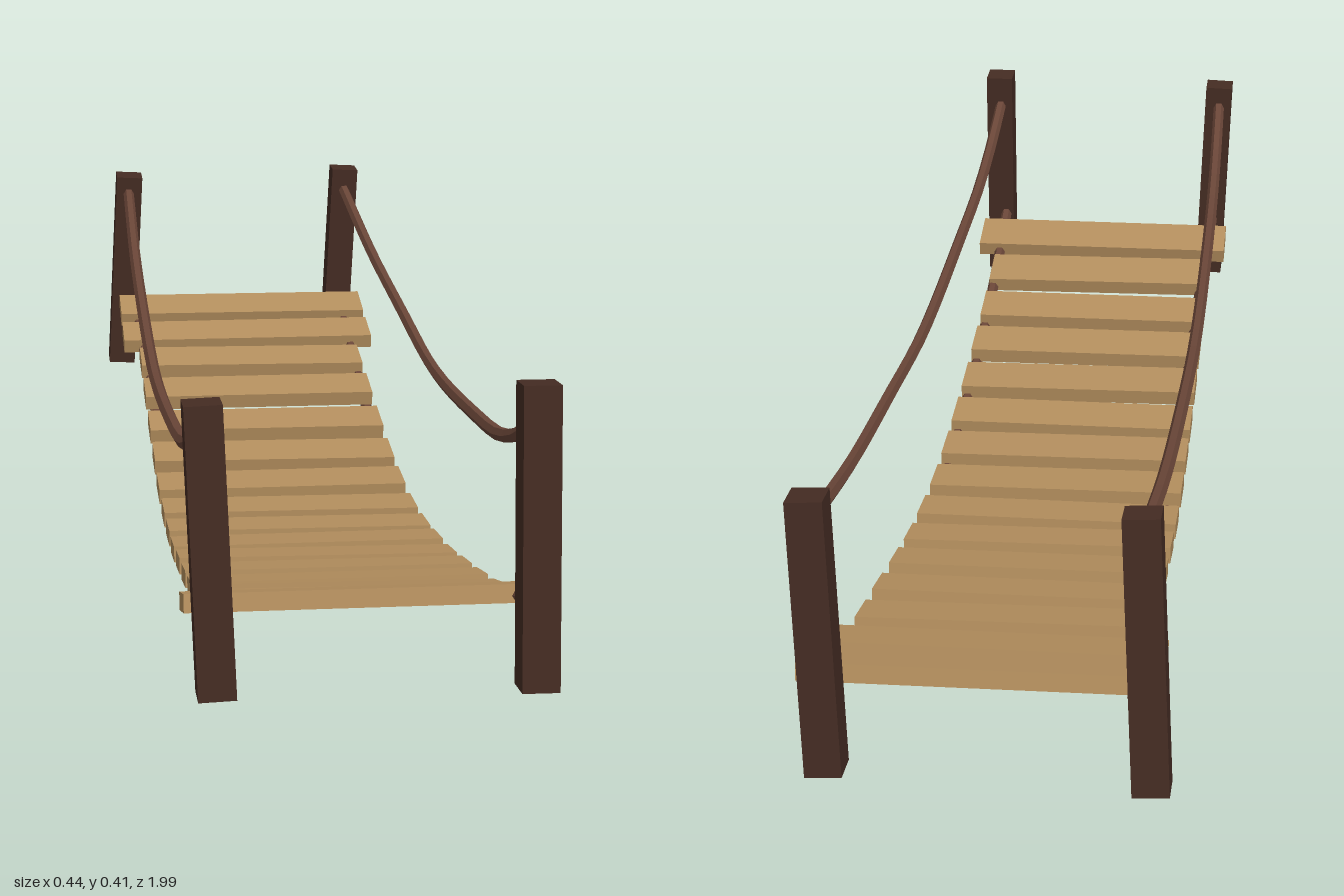
import * as THREE from 'three';

const wood = new THREE.MeshStandardMaterial({ color: 0xb48f5e, flatShading: true });
const darkWood = new THREE.MeshStandardMaterial({ color: 0x452c23, flatShading: true });
const ropeMat = new THREE.MeshStandardMaterial({ color: 0x6a4638, flatShading: true });

const vec = (p) => new THREE.Vector3(...p);

// Square post leaning from its bottom point to its top point
function post(name, bottom, top) {
  const a = vec(bottom), b = vec(top);
  const axis = b.clone().sub(a);
  const mesh = new THREE.Mesh(new THREE.BoxGeometry(0.044, axis.length(), 0.05), darkWood);
  mesh.position.copy(a).add(b).multiplyScalar(0.5);
  mesh.quaternion.setFromUnitVectors(new THREE.Vector3(0, 1, 0), axis.normalize());
  mesh.name = name;
  return mesh;
}

// Sagging rope through a few points
function rope(name, points) {
  const curve = new THREE.CatmullRomCurve3(points.map(vec));
  const mesh = new THREE.Mesh(new THREE.TubeGeometry(curve, 24, 0.009, 6), ropeMat);
  mesh.name = name;
  return mesh;
}

export function createModel() {
  const bridge = new THREE.Group();
  bridge.name = 'ropeBridge';

  // Corner posts, each leaning a little differently
  bridge.add(
    post('frontLeftPost', [0.194, 0.056, 0.968], [0.194, 0.408, 0.945]),
    post('frontRightPost', [-0.174, 0.058, 0.967], [-0.188, 0.396, 0.957]),
    post('backLeftPost', [0.178, 0.068, -0.966], [0.194, 0.406, -0.95]),
    post('backRightPost', [-0.202, 0.064, -0.972], [-0.186, 0.398, -0.945])
  );

  // Handrail ropes: [z, y] profile, with x bowing outwards mid-span
  const rail = [[0.955, 0.368], [0.81, 0.318], [0.66, 0.284], [0.435, 0.262], [0.17, 0.246],
    [0, 0.247], [-0.26, 0.27], [-0.61, 0.31], [-0.95, 0.373]];
  bridge.add(
    rope('leftHandRope', rail.map(([z, y]) => [0.19 + 0.017 * (1 - z * z), y, z])),
    rope('rightHandRope', rail.map(([z, y]) => [-0.187 - 0.008 * (1 - z * z), y, z]))
  );

  // Deck ropes beneath the planks
  const deckRope = [[0.96, 0.163], [0.75, 0.107], [0.515, 0.058], [0.25, 0.028], [0.02, 0.011],
    [-0.15, 0.018], [-0.34, 0.038], [-0.61, 0.096], [-0.96, 0.172]];
  bridge.add(
    rope('leftDeckRope', deckRope.map(([z, y]) => [0.178 + 0.008 * z * z, y, z])),
    rope('rightDeckRope', deckRope.map(([z, y]) => [-0.16 - 0.022 * z * z, y, z]))
  );

  // Planks: [z, y], tilted to follow the sag; the end ones are wider
  const deck = [[-0.892, 0.166], [-0.78, 0.14], [-0.656, 0.118], [-0.524, 0.094], [-0.384, 0.069],
    [-0.251, 0.048], [-0.124, 0.033], [0.008, 0.027], [0.132, 0.03], [0.249, 0.038],
    [0.373, 0.052], [0.497, 0.069], [0.619, 0.087], [0.746, 0.111], [0.857, 0.138]];
  const planks = new THREE.Group();
  planks.name = 'planks';
  const last = deck.length - 1;
  deck.forEach(([z, y], i) => {
    const a = deck[Math.max(i - 1, 0)], b = deck[Math.min(i + 1, last)];
    const wide = i < 2 || i === last;
    const plank = new THREE.Mesh(new THREE.BoxGeometry(wide ? 0.424 : 0.37, 0.022, 0.084), wood);
    plank.position.set(wide ? 0.006 : 0.003, y, z);
    plank.rotation.x = -Math.atan2(b[1] - a[1], b[0] - a[0]);
    plank.rotation.z = 0.006 * Math.sin(i * 2.3);
    plank.name = `plank${i + 1}`;
    planks.add(plank);
  });
  bridge.add(planks);

  return bridge;
}
